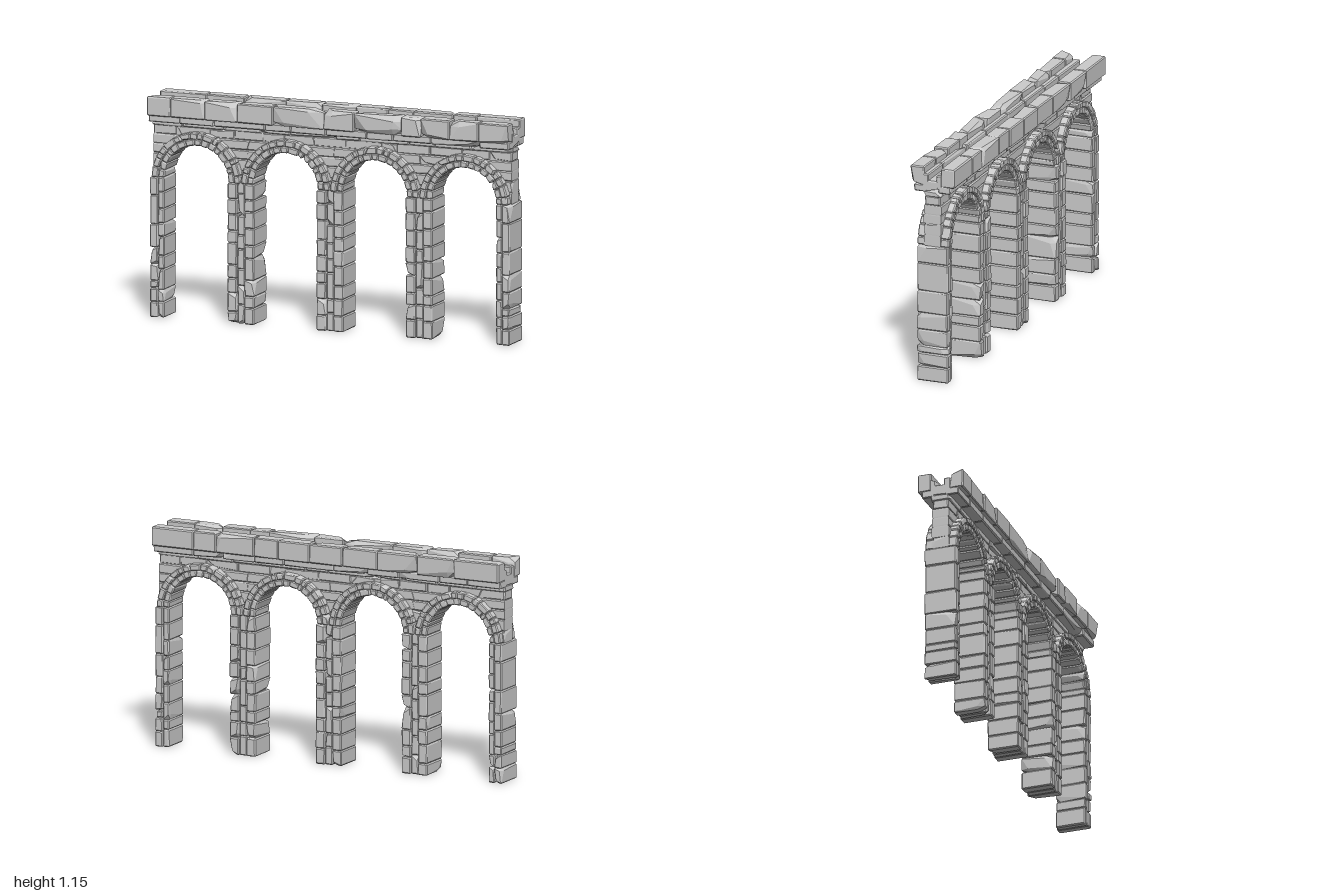
import * as THREE from 'three';
import { mergeGeometries } from 'three/addons/utils/BufferGeometryUtils.js';
import { ConvexGeometry } from 'three/addons/geometries/ConvexGeometry.js';

const SPRING = 0.73, R_IN = 0.178, R_MID = 0.212, R_OUT = 0.246;
const CENTRES = [-0.743, -0.2475, 0.2475, 0.743];

export function createModel() {
  const group = new THREE.Group();
  const material = new THREE.MeshStandardMaterial({ color: 0xcccccc, flatShading: true });

  let seed = 11;
  const rand = () => (seed = (seed * 16807) % 2147483647) / 2147483647;
  const jitter = (a) => (rand() - 0.5) * 2 * a;

  // One hewn block: a box with cut corners, some chipped deeper, optionally warped
  function stone(x0, x1, y0, y1, z0, z1, chip = 0.08, warp = null) {
    const lo = [x0, y0, z0 + jitter(0.0025)], hi = [x1, y1, z1 + jitter(0.0025)];
    const size = hi.map((h, i) => h - lo[i]);
    const points = [];
    for (let k = 0; k < 8; k++) {
      const chipped = rand() < chip;
      const cut = size.map((s) => chipped
        ? s * (0.12 + 0.2 * rand())
        : Math.min(0.2 * s, 0.004 + 0.003 * rand()));
      for (let axis = 0; axis < 3; axis++) {
        const p = [0, 1, 2].map((i) => {
          const inset = i === axis ? 0 : cut[i];
          return (k >> i) & 1 ? hi[i] - inset : lo[i] + inset;
        });
        const v = new THREE.Vector3(...p);
        points.push(warp ? warp(v) : v);
      }
    }
    return new ConvexGeometry(points);
  }

  function add(name, stones) {
    const mesh = new THREE.Mesh(mergeGeometries(stones), material);
    mesh.name = name;
    group.add(mesh);
  }

  // Uneven divisions of a span into n pieces
  function divide(a, b, n) {
    const step = (b - a) / n;
    return Array.from({ length: n + 1 }, (_, i) =>
      a + step * i + (i > 0 && i < n ? jitter(step * 0.25) : 0));
  }

  // Vertical stack of blocks
  function column(x0, x1, halfDepth, rows) {
    return rows.slice(1).map((y, i) => stone(x0, x1, rows[i], y, -halfDepth, halfDepth));
  }

  // Horizontal row of blocks along the whole bridge
  function course(xs, y0, y1, z0, z1, chip = 0.08) {
    return xs.slice(1).map((x, i) => stone(xs[i], x, y0, y1, z0, z1, chip));
  }

  // Piers: full-depth jambs on both sides of a slimmer middle column
  const sideRows = [0, 0.08, 0.15, 0.19, 0.275, 0.365, 0.485, 0.635, SPRING];
  const piers = [-0.495, 0, 0.495];
  for (const x of piers) {
    add('pier', [
      ...column(x - 0.074, x - 0.021, 0.085, divide(0, SPRING, 9)),
      ...column(x - 0.021, x + 0.021, 0.076, divide(0, SPRING + 0.02, 8)),
      ...column(x + 0.021, x + 0.074, 0.085, divide(0, SPRING, 9)),
    ]);
  }
  for (const s of [-1, 1]) {
    const span = (a, b) => (s < 0 ? [-b, -a] : [a, b]);
    add('endPier', [
      ...column(...span(0.955, 0.998), 0.085, sideRows),
      ...column(...span(0.921, 0.955), 0.08, divide(0, SPRING, 9)),
    ]);
  }

  // Arches: two concentric rings of wedge stones
  for (const cx of CENTRES) {
    const ring = (r0, r1, halfDepth, n) => {
      const rm = (r0 + r1) / 2;
      const bend = (v) => new THREE.Vector3(
        cx - v.y * Math.cos(v.x / rm), SPRING + v.y * Math.sin(v.x / rm), v.z);
      const arcs = divide(0, Math.PI * rm, n);
      return arcs.slice(1).map((a, i) =>
        stone(arcs[i], a, r0, r1, -halfDepth, halfDepth, 0.04, bend));
    };
    add('archRing', [...ring(R_IN, R_MID, 0.08, 15), ...ring(R_MID, R_OUT, 0.086, 16)]);
  }

  // Thin wall behind the arch rings
  const outline = new THREE.Shape();
  outline.moveTo(-0.99, 0.99);
  outline.lineTo(-0.99, SPRING);
  for (const cx of CENTRES) {
    outline.lineTo(cx - 0.23, SPRING);
    outline.absarc(cx, SPRING, 0.23, Math.PI, 0, true);
  }
  outline.lineTo(0.99, SPRING);
  outline.lineTo(0.99, 0.99);
  outline.closePath();
  const wall = new THREE.ExtrudeGeometry(outline, { depth: 0.08, bevelEnabled: false, curveSegments: 20 });
  wall.translate(0, 0, -0.04);
  add('spandrelWall', [wall]);

  // Wedge stones filling the spandrels, flaring with the arches
  const flare = (y) => 0.2515 - Math.sqrt(Math.max(0, 0.238 ** 2 - (y - SPRING) ** 2));
  const levels = [SPRING, 0.79, 0.85, 0.9, 0.95];
  for (const x of [-0.995, ...piers, 0.995]) {
    const stones = [];
    levels.slice(1).forEach((top, i) => {
      const spread = (v) => new THREE.Vector3(x + v.x * flare(v.y), v.y, v.z);
      const cuts = Math.abs(x) > 0.9 ? (x < 0 ? [0, 1] : [-1, 0]) : i < 2 ? [-1, 1] : [-1, jitter(0.4), 1];
      for (let k = 1; k < cuts.length; k++) {
        stones.push(stone(cuts[k - 1], cuts[k], levels[i], top, -0.047, 0.047, 0.05, spread));
      }
    });
    add('spandrelStones', stones);
  }

  // Courses carrying the channel
  add('wallCourse', course(divide(-0.995, 0.995, 13), 0.95, 1.0, -0.042, 0.042));
  add('neckCourse', course(divide(-1, 1, 10), 0.995, 1.03, -0.05, 0.05));
  add('channelFloor', course(divide(-1, 1, 9), 1.025, 1.083, -0.04, 0.04, 0.03));

  // Channel sides: stepped corbel, inner kerb and heavy parapet
  const frontJoints = [-1, -0.87, -0.68, -0.5, -0.3, -0.02, 0.15, 0.41, 0.52, 0.68, 0.84, 1];
  const backJoints = [-1, -0.74, -0.53, -0.3, -0.1, 0.09, 0.27, 0.41, 0.63, 0.76, 1];
  for (const s of [1, -1]) {
    const side = (xs, y0, y1, a, b, chip) =>
      course(xs, y0, y1, s > 0 ? a : -b, s > 0 ? b : -a, chip);
    add('corbelCourse', side(divide(-1, 1, 10), 1.02, 1.06, 0.03, 0.1));
    add('innerKerb', side(divide(-1, 1, 8), 1.04, 1.118, 0.021, 0.055));
    add('parapet', side(s > 0 ? frontJoints : backJoints, 1.055, 1.155, 0.046, 0.124, 0.14));
  }
  return group;
}
